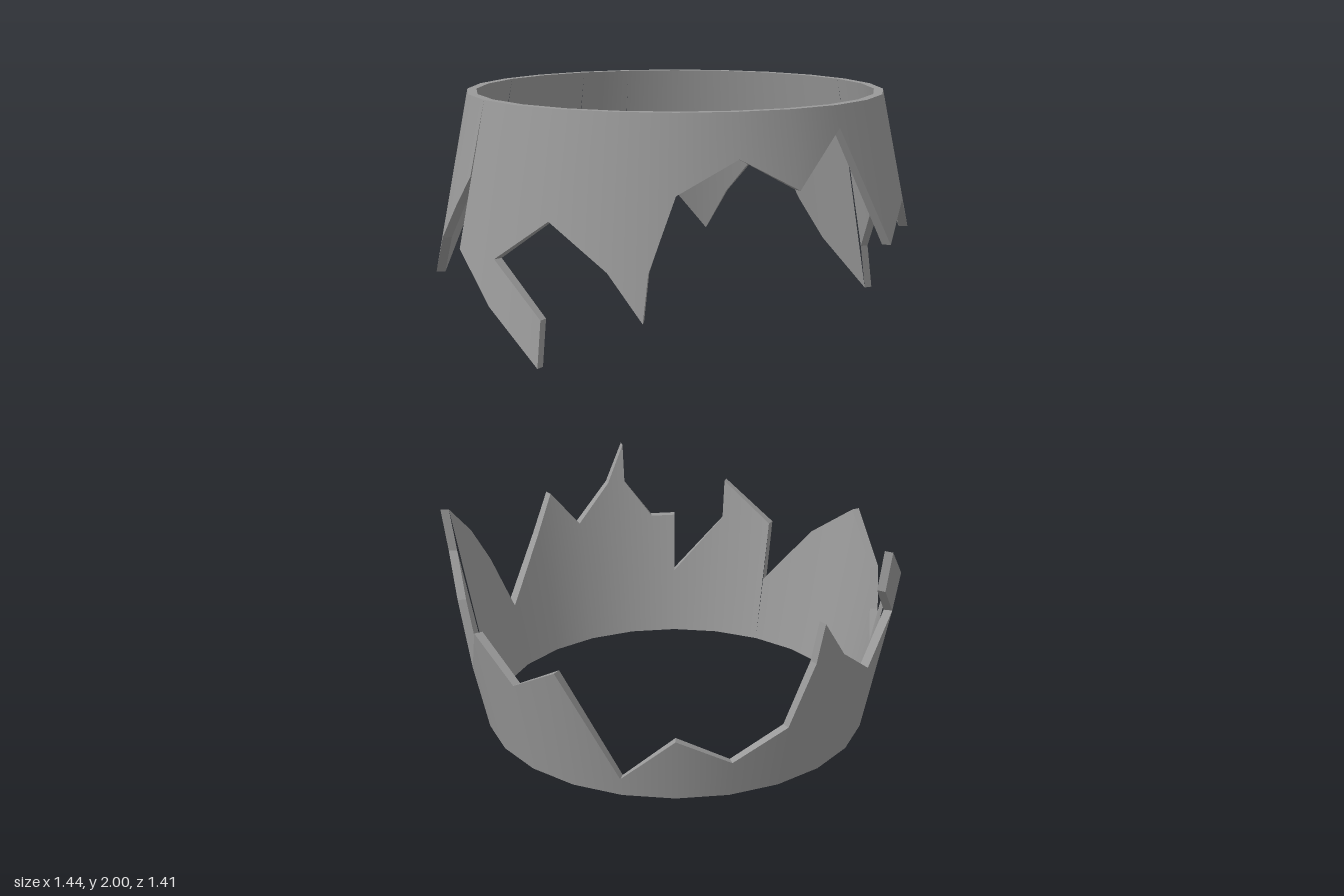
import * as THREE from 'three';

const STEP = 15;          // degrees per facet
const THICKNESS = 0.027;
const CENTER_Z = 0.035;
const { degToRad } = THREE.MathUtils;

// Broken edge of the upper shell: [angle from the front towards +x, height]
const brokenEdge = [
  [-60, 1.59], [-45, 1.71], [-30, 1.59], [-22, 1.46], [-21, 1.59], [-15, 1.79],
  [0, 1.88], [15, 1.79], [30, 1.94], [45, 1.6], [60, 1.7], [75, 1.59], [90, 1.79],
  [97, 1.59], [105, 1.46], [105, 1.32], [120, 1.46], [127, 1.59], [135, 1.79],
  [150, 1.59], [156, 1.46], [165, 1.59], [175, 1.46], [180, 1.33], [180, 1.46],
  [188, 1.59], [195, 1.59], [195, 1.79], [210, 1.59], [210, 1.46],
  [225, 1.59], [225, 1.79], [240, 1.58], [255, 1.45], [270, 1.59],
  [277.5, 1.7], [285, 1.79], [285, 1.59], [300, 1.46],
];
// Hooked splinter that hangs below the notch
const hookLower = [[-60, 1.46], [-45, 1.32]];
const hookUpper = [[-60, 1.59], [-45, 1.45]];

// Point on the flared, faceted wall
function wallPoint([deg, y], inner) {
  const offset = deg - (Math.floor(deg / STEP) + 0.5) * STEP;
  const flat = Math.cos(degToRad(STEP / 2)) / Math.cos(degToRad(offset));
  const drop = 2 - y;
  const flare = 0.613 + 0.25 * drop - 0.08 * drop * drop;
  const r = (flare - (inner ? THICKNESS : 0)) * flat;
  const a = degToRad(deg);
  return new THREE.Vector3(r * Math.sin(a), y, CENTER_Z + r * Math.cos(a));
}

// Smooth normal of the flared wall
function wallNormal([deg], inner) {
  const a = degToRad(deg);
  return new THREE.Vector3(Math.sin(a), 0.2, Math.cos(a)).normalize().multiplyScalar(inner ? -1 : 1);
}

function shellGeometry() {
  const positions = [];
  const normals = [];
  const quad = (points, pointNormals) => {
    for (const i of [0, 1, 2, 0, 2, 3]) {
      positions.push(...points[i]);
      normals.push(...pointNormals[i]);
    }
  };
  const skin = (corners, inner) =>
    quad(corners.map((p) => wallPoint(p, inner)), corners.map((p) => wallNormal(p, inner)));
  // Flat cut face through the thickness, solid on the left of p -> q
  const cut = (p, q) => {
    const points = [wallPoint(p, false), wallPoint(p, true), wallPoint(q, true), wallPoint(q, false)];
    const n = new THREE.Triangle(points[0], points[1], points[2]).getNormal(new THREE.Vector3());
    quad(points, [n, n, n, n]);
  };
  // Outer and inner skins with the lower and upper cut faces
  const strip = (low, high) => {
    for (let i = 0; i < low.length - 1; i++) {
      const [a, b, c, d] = [low[i], low[i + 1], high[i + 1], high[i]];
      cut(a, b);
      if (a[0] === b[0]) continue;
      skin([a, b, c, d], false);
      skin([b, a, d, c], true);
      cut(c, d);
    }
  };
  strip(brokenEdge, brokenEdge.map(([deg]) => [deg, 2]));
  strip(hookLower, hookUpper);
  cut(hookLower[1], hookUpper[1]); // hook tip

  const geometry = new THREE.BufferGeometry();
  geometry.setAttribute('position', new THREE.Float32BufferAttribute(positions, 3));
  geometry.setAttribute('normal', new THREE.Float32BufferAttribute(normals, 3));
  return geometry;
}

export function createModel() {
  const model = new THREE.Group();
  model.name = 'brokenShell';
  const geometry = shellGeometry();
  const material = new THREE.MeshStandardMaterial({ color: 0x999999 });

  const upper = new THREE.Mesh(geometry, material);
  upper.name = 'upperShell';

  // The lower shell is the same piece turned upside down
  const lower = new THREE.Mesh(geometry, material);
  lower.name = 'lowerShell';
  lower.rotation.z = Math.PI;
  lower.position.y = 2;

  model.add(upper, lower);
  return model;
}
